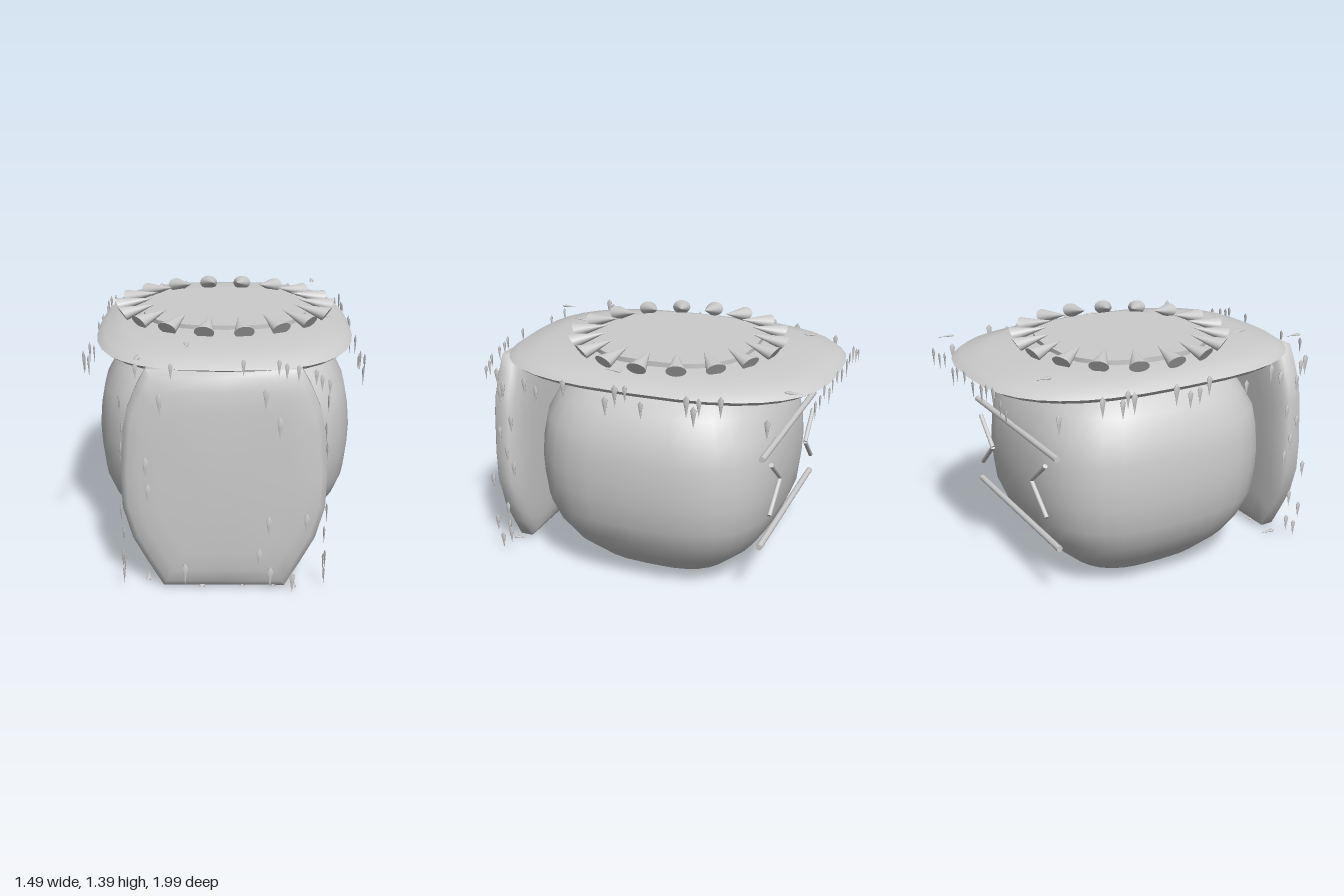
import * as THREE from 'three';
import { toCreasedNormals } from 'three/addons/utils/BufferGeometryUtils.js';

const material = new THREE.MeshStandardMaterial({ color: 0xcccccc });

function add(parent, geometry, name) {
  const mesh = new THREE.Mesh(geometry, material);
  mesh.name = name;
  parent.add(mesh);
  return mesh;
}

// Rounded-square outline as [u, v] points
function superellipse(ru, rv, n, count) {
  const power = (c) => Math.sign(c) * Math.abs(c) ** (2 / n);
  return Array.from({ length: count }, (_, i) => {
    const t = (i / count) * Math.PI * 2;
    return [ru * power(Math.cos(t)), rv * power(Math.sin(t))];
  });
}

// Stack scaled copies of an outline: rings are [height, scale], bottom to top
function loft(outline, rings, crease = 0.7) {
  const count = outline.length, positions = [], indices = [];
  for (const [h, s] of rings) for (const [u, v] of outline) positions.push(u * s, h, v * s);
  for (let i = 0; i < rings.length - 1; i++) {
    for (let j = 0; j < count; j++) {
      const k = (j + 1) % count;
      const a = i * count + j, b = i * count + k, c = a + count, d = b + count;
      if (rings[i][1] > 0) indices.push(a, c, b);
      if (rings[i + 1][1] > 0) indices.push(b, c, d);
    }
  }
  const geometry = new THREE.BufferGeometry();
  geometry.setAttribute('position', new THREE.Float32BufferAttribute(positions, 3));
  geometry.setIndex(indices);
  return toCreasedNormals(geometry, crease);
}

// Round bar between two points
function bar(parent, from, to, radius, name) {
  const a = new THREE.Vector3(...from), b = new THREE.Vector3(...to);
  const mesh = add(parent, new THREE.CylinderGeometry(radius, radius, a.distanceTo(b), 12), name);
  mesh.position.copy(a).add(b).multiplyScalar(0.5);
  mesh.quaternion.setFromUnitVectors(new THREE.Vector3(0, 1, 0), b.sub(a).normalize());
}

function seeded(seed) {
  return () => {
    seed = (seed * 16807) % 2147483647;
    return seed / 2147483647;
  };
}

export function createModel() {
  const model = new THREE.Group();
  model.name = 'model';

  // Rounded pot-like body with a flat base
  const body = add(model, loft(superellipse(0.74, 0.735, 3, 32), [
    [0.07, 0], [0.07, 0.6], [0.2, 0.79], [0.32, 0.9], [0.45, 0.97], [0.6, 0.993], [0.72, 1],
    [0.85, 0.985], [0.97, 0.955], [1.1, 0.86], [1.2, 0.74], [1.28, 0.55], [1.28, 0],
  ]), 'body');
  body.position.z = -0.015;

  // Wide flat lid with thin edges
  const lid = add(model, loft(superellipse(0.735, 0.975, 2.8, 36), [
    [1.2, 0], [1.2, 0.6], [1.215, 0.8], [1.24, 0.95], [1.27, 1],
    [1.305, 0.95], [1.33, 0.8], [1.345, 0.6], [1.35, 0],
  ], 1.3), 'lid');
  lid.position.z = -0.02;

  // Raised plate inside the ring of spikes
  const plate = add(model, loft(superellipse(0.48, 0.475, 2.6, 24), [
    [1.32, 0], [1.32, 1], [1.37, 1], [1.37, 0],
  ]), 'plate');
  plate.position.z = -0.03;

  // Padded front panel, lofted front to back
  const half = [
    [0.4, 1.27], [0.45, 1.18], [0.505, 1.05], [0.525, 0.95], [0.545, 0.68],
    [0.54, 0.5], [0.49, 0.32], [0.41, 0.17], [0.33, 0.03],
  ].map(([x, y]) => [x, 0.65 - y]);
  const outline = [
    ...half, [0, 0.62], ...half.map(([x, v]) => [-x, v]).reverse(), [0, -0.62],
  ];
  const panelGeometry = loft(outline, [
    [-0.095, 0], [-0.095, 0.65], [-0.085, 0.82], [-0.065, 0.94], [-0.04, 1],
    [0.04, 1], [0.065, 0.94], [0.085, 0.82], [0.095, 0.65], [0.095, 0],
  ], 1.1);
  const panel = add(model, panelGeometry.rotateX(Math.PI / 2), 'frontPanel');
  panel.position.set(0, 0.65, 0.89);

  // Ring of cones pointing inward, slightly sheared so the bases lean out
  const spikes = new THREE.Group();
  spikes.name = 'spikeRing';
  spikes.position.z = -0.03;
  const cone = new THREE.ConeGeometry(1, 1, 20).translate(0, 0.5, 0);
  cone.applyMatrix4(new THREE.Matrix4().makeBasis(
    new THREE.Vector3(0, 0, -0.056),
    new THREE.Vector3(-0.195, 0.04, 0),
    new THREE.Vector3(0.025, 0.038, 0),
  ).setPosition(0.625, 1.37, 0));
  for (let i = 0; i < 18; i++) add(spikes, cone, 'spike').rotation.y = (i / 18) * Math.PI * 2;
  model.add(spikes);

  // Two long bars and two bent marks on the back
  for (const y of [0.92, 0.385]) bar(model, [-0.55, y, -0.725], [0.55, y, -0.725], 0.018, 'backBar');
  for (const side of [-1, 1]) {
    const corner = [side * 0.27, 0.7, -0.755];
    for (const y of [0.85, 0.54]) {
      bar(model, [side * 0.45, y, -0.75], corner, 0.013, 'backMark');
    }
  }

  // Flat droplets with a long lower point
  const drops = new THREE.Group();
  drops.name = 'droplets';
  model.add(drops);
  const dropGeometry = new THREE.LatheGeometry(
    [[0, -0.075], [0.012, -0.01], [0.019, 0.025], [0, 0.05]].map(([x, y]) => new THREE.Vector2(x, y)), 6,
  ).scale(1, 1, 0.4);
  const drop = (x, y, z, rx = 0, ry = 0, size = 1) => {
    const mesh = add(drops, dropGeometry, 'droplet');
    mesh.position.set(x, y, z);
    mesh.rotation.set(rx, ry, 0);
    mesh.scale.setScalar(size);
  };
  const quarter = Math.PI / 2;
  const random = seeded(41);
  const between = (lo, hi) => lo + (hi - lo) * random();

  // Front of the panel
  for (const [x, y] of [
    [-0.33, 1.11], [0.215, 1.14], [0.29, 0.98], [-0.41, 0.76], [-0.4, 0.61], [0.24, 0.42],
    [0.44, 0.44], [0.19, 0.23], [0.25, 0.12], [0.37, 0.09], [-0.21, 0.14],
  ]) drop(x, y, 0.985);

  // Sides of the panel
  for (const [z, y] of [
    [0.88, 1.08], [0.82, 0.9], [0.9, 0.82], [0.86, 0.7], [0.82, 0.6],
    [0.97, 0.5], [0.88, 0.32], [0.96, 0.22], [0.87, 0.15], [0.93, 0.1],
  ]) for (const side of [-1, 1]) drop(side * 0.545, y, z, 0, quarter, 0.9);

  // Underside of the panel
  for (const x of [-0.42, -0.22, -0.12, 0.1, 0.27, 0.38]) {
    drop(x, 0.03, between(0.84, 0.92), quarter, 0, 0.9);
  }

  // Lid edges: both sides, back and front
  for (const z of [
    0.77, 0.74, 0.6, 0.53, 0.36, 0.11, 0.05, -0.01, -0.1, -0.36, -0.4, -0.43, -0.55, -0.8,
  ]) for (const side of [-1, 1]) {
    drop(side * 0.735, between(1.18, 1.28), z, 0, quarter, between(0.8, 1.05));
  }
  for (const x of [-0.52, -0.45, -0.36, -0.27, -0.2, -0.08, 0.04, 0.15, 0.22, 0.34, 0.43, 0.53]) {
    drop(x, between(1.2, 1.28), -0.993, 0, 0, between(0.75, 1));
  }
  for (const [x, y] of [
    [-0.45, 1.28], [-0.27, 1.28], [0.1, 1.3], [0.28, 1.3], [0.32, 1.28],
    [0.38, 1.27], [0.47, 1.25], [0.5, 1.22], [0.54, 1.2],
  ]) drop(x, y, 0.965, 0, 0, 0.75);

  // Top of the lid
  for (const [x, z, turn] of [
    [0.58, -0.88, quarter], [-0.42, -0.72, quarter], [-0.2, 0.7, -quarter],
    [-0.44, 0.93, quarter], [0.6, 0.1, -quarter],
  ]) drop(x, 1.335, z, turn, 0, 0.9);

  return model;
}
